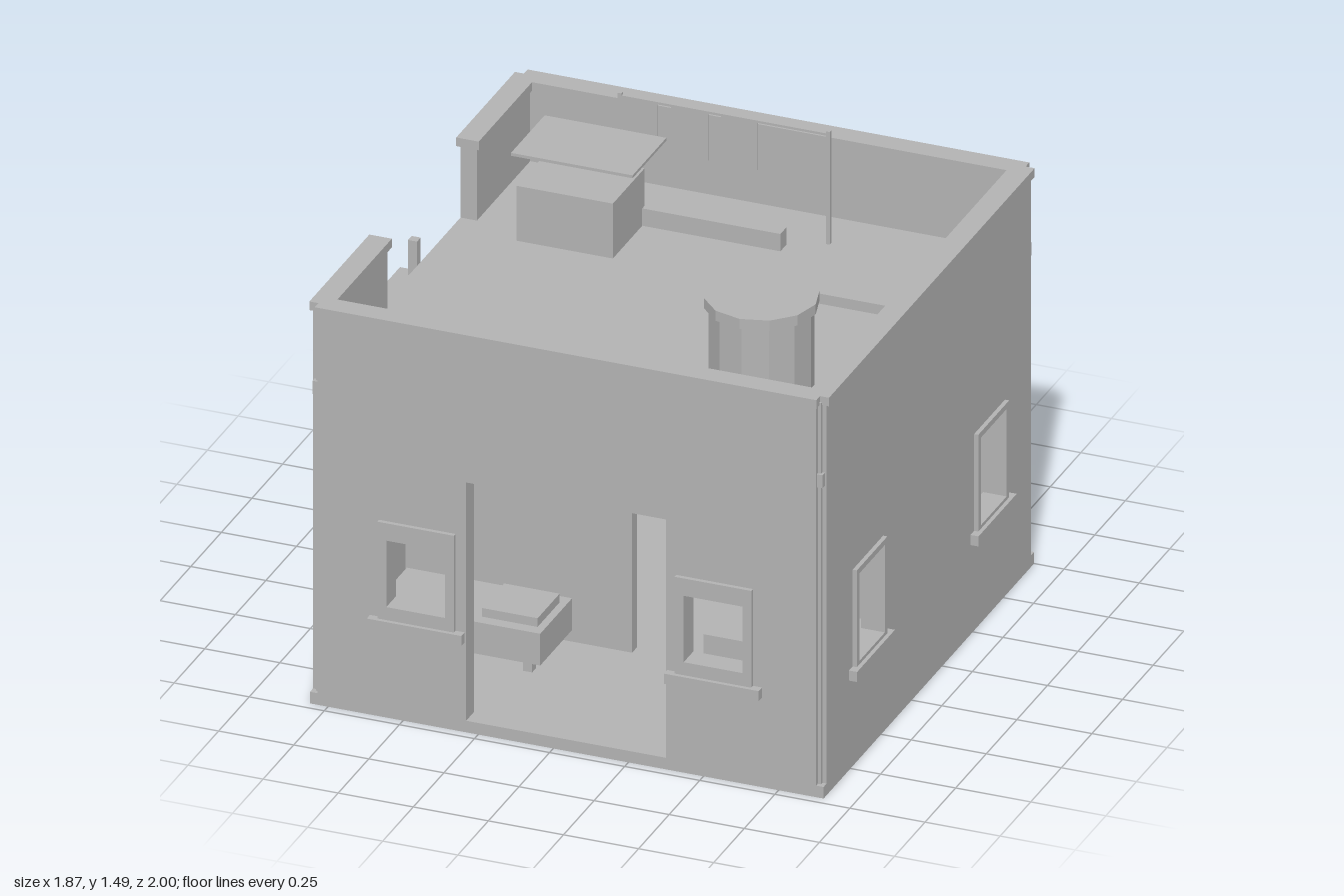
import * as THREE from 'three';

export function createModel() {
  const model = new THREE.Group();
  const plaster = new THREE.MeshStandardMaterial({ color: 0xb3b3b3 });
  plaster.name = 'grey plaster';

  const add = (name, geometry) => {
    const mesh = new THREE.Mesh(geometry, plaster);
    mesh.name = name;
    model.add(mesh);
    return mesh;
  };
  // Box given by its limits on each axis
  const box = (name, x0, x1, y0, y1, z0, z1) =>
    add(name, new THREE.BoxGeometry(x1 - x0, y1 - y0, z1 - z0)
      .translate((x0 + x1) / 2, (y0 + y1) / 2, (z0 + z1) / 2));

  const rectPoints = ([u0, u1, y0, y1]) =>
    [[u0, y0], [u1, y0], [u1, y1], [u0, y1]].map(p => new THREE.Vector2(...p));
  // Upright panel with rectangular holes; u runs along x, or along z when side is true
  const panel = (name, rect, holes, w0, w1, side) => {
    const shape = new THREE.Shape(rectPoints(rect));
    holes.forEach(h => shape.holes.push(new THREE.Path(rectPoints(h))));
    const g = new THREE.ExtrudeGeometry(shape, { depth: w1 - w0, bevelEnabled: false });
    if (side) g.rotateY(-Math.PI / 2).translate(w1, 0, 0);
    else g.translate(0, 0, w0);
    return add(name, g);
  };

  const X0 = -0.81, X1 = 0.9, Z0 = -0.75, Z1 = 0.97; // outer wall faces
  const T = 0.065, N = 0.025;                        // wall thickness, corner notch
  const ROOF = 1.1;

  // Base and roof slab
  box('base', X0, X1, 0, 0.04, Z0, Z1);
  box('roof', X0 + 0.03, X1 - 0.03, 1.05, ROOF, Z0 + 0.03, Z1 - 0.03);

  // Walls with openings
  const door = [-0.29, 0.375, 0.035, 0.865];
  const frontHoles = [[-0.55, -0.355, 0.39, 0.62], [0.44, 0.635, 0.39, 0.62]];
  const sideHoles = [[0.503, 0.712, 0.357, 0.66], [-0.492, -0.28, 0.357, 0.66]];
  for (const [name, w0] of [['frontWall', Z1 - T], ['backWall', Z0]])
    panel(name, [X0 + N, X1 - N, 0.02, ROOF], [door, ...frontHoles], w0, w0 + T, false);
  for (const [name, w0] of [['leftWall', X1 - T], ['rightWall', X0]])
    panel(name, [Z0 + N, Z1 - N, 0.02, ROOF], sideHoles, w0, w0 + T, true);
  panel('partitionWall', [X0 + T, X1 - T, 0.02, 1.05], [[0.01, 0.37, 0.035, 0.71]], 0.31, 0.35, false);

  // Window frames and sills on all four walls
  const windowTrim = (hole, borders, face, out, side) => {
    const [b, bottom, top] = borders;
    const frame = [hole[0] - b, hole[1] + b, hole[2] - bottom, hole[3] + top];
    const span = d => (out > 0 ? [face - 0.005, face + d] : [face - d, face + 0.005]);
    panel('windowFrame', frame, [hole], ...span(0.014), side);
    panel('windowSill', [frame[0] - 0.03, frame[1] + 0.03, 0.31, 0.345], [], ...span(0.027), side);
  };
  for (const [face, out] of [[Z1, 1], [Z0, -1]])
    frontHoles.forEach(h => windowTrim(h, [0.03, 0.045, 0.06], face, out, false));
  for (const [face, out] of [[X1, 1], [X0, -1]])
    sideHoles.forEach(h => windowTrim(h, [0.02, 0.012, 0.02], face, out, true));

  // Drain pipes in the notched corners
  for (const [x, sx] of [[X0, 1], [X1, -1]])
    for (const [z, sz] of [[Z0, 1], [Z1, -1]]) {
      const pipe = (name, inset, y0, y1) => {
        const xs = [x + sx * inset, x + sx * 0.03].sort((a, b) => a - b);
        const zs = [z + sz * inset, z + sz * 0.03].sort((a, b) => a - b);
        box(name, ...xs, y0, y1, ...zs);
      };
      pipe('cornerPipe', 0.014, 0.04, 1.36);
      pipe('pipeCollar', 0.006, 1.07, 1.115);
    }

  // Parapet: a ring with notched corners, open above the ladder
  const ring = (name, y0, y1, o, t, g0, g1) => {
    const [a, b, c, d] = [X0 - o, X1 + o, Z0 - o, Z1 + o];
    const n = N + o * 0.5;
    const points = [
      [a, g1], [a, d - n], [a + n, d - n], [a + n, d], [b - n, d], [b - n, d - n], [b, d - n],
      [b, c + n], [b - n, c + n], [b - n, c], [a + n, c], [a + n, c + n], [a, c + n], [a, g0],
      [a + t, g0], [a + t, c + t], [b - t, c + t], [b - t, d - t], [a + t, d - t], [a + t, g1],
    ].map(([x, z]) => new THREE.Vector2(x, -z));
    const g = new THREE.ExtrudeGeometry(new THREE.Shape(points), { depth: y1 - y0, bevelEnabled: false });
    add(name, g.rotateX(-Math.PI / 2).translate(0, y0, 0));
  };
  ring('parapet', ROOF, 1.355, 0, 0.055, -0.26, 0.47);
  ring('parapetCap', 1.35, 1.38, 0.01, 0.075, -0.25, 0.46);

  // Awning and crate behind the house
  box('awning', -0.42, 0.5, 0.915, 0.95, -1, Z0 + 0.01);
  box('crate', -0.7, -0.27, 0.04, 0.215, -0.967, Z0 + 0.01);

  // Ladder with two wall brackets
  for (const z of [-0.07, 0.24]) box('ladderRail', -0.895, -0.865, 0.04, 1.11, z, z + 0.03);
  for (let i = 0; i < 9; i++) {
    const y = 0.27 + i * 0.077;
    box('ladderRung', -0.89, -0.87, y, y + 0.022, -0.05, 0.25);
  }
  for (const y of [0.172, 0.966]) box('ladderBracket', -0.938, X0 + 0.01, y, y + 0.023, -0.08, 0.29);

  // Water tank
  const drum = (name, r, y0, y1) =>
    add(name, new THREE.CylinderGeometry(r, r, y1 - y0, 12).toNonIndexed()
      .translate(0.49, (y0 + y1) / 2, 0.47)).geometry.computeVertexNormals();
  drum('tankBody', 0.165, ROOF, 1.4);
  drum('tankLid', 0.18, 1.395, 1.43);

  // Roof box under a sheet, long beam and hatch
  box('roofBox', -0.59, -0.27, ROOF, 1.29, -0.44, -0.18);
  box('shadeSheet', -0.605, -0.2, 1.396, 1.406, -0.445, -0.17);
  box('roofBeam', -0.435, 0.19, ROOF, 1.16, -0.47, -0.42);
  box('roofHatch', 0.295, 0.655, ROOF, 1.135, -0.45, -0.137);

  // Clothes line
  for (const x of [-0.392, 0.302]) box('linePost', x, x + 0.012, ROOF, 1.49, -0.531, -0.519);
  box('line', -0.39, 0.31, 1.474, 1.482, -0.529, -0.521);
  for (const x of [-0.385, -0.215, -0.05]) box('cloth', x, x + 0.122, 1.31, 1.476, -0.528, -0.522);

  // Furniture in the front room
  box('bed', -0.74, -0.19, 0.08, 0.19, 0.35, 0.61);
  box('pillow', -0.4, -0.215, 0.19, 0.22, 0.39, 0.57);
  for (const x of [-0.72, -0.255])
    for (const z of [0.37, 0.56]) box('bedLeg', x, x + 0.03, 0.04, 0.08, z, z + 0.03);
  box('chest', 0.365, 0.83, 0.04, 0.31, 0.36, 0.64);

  return model;
}
